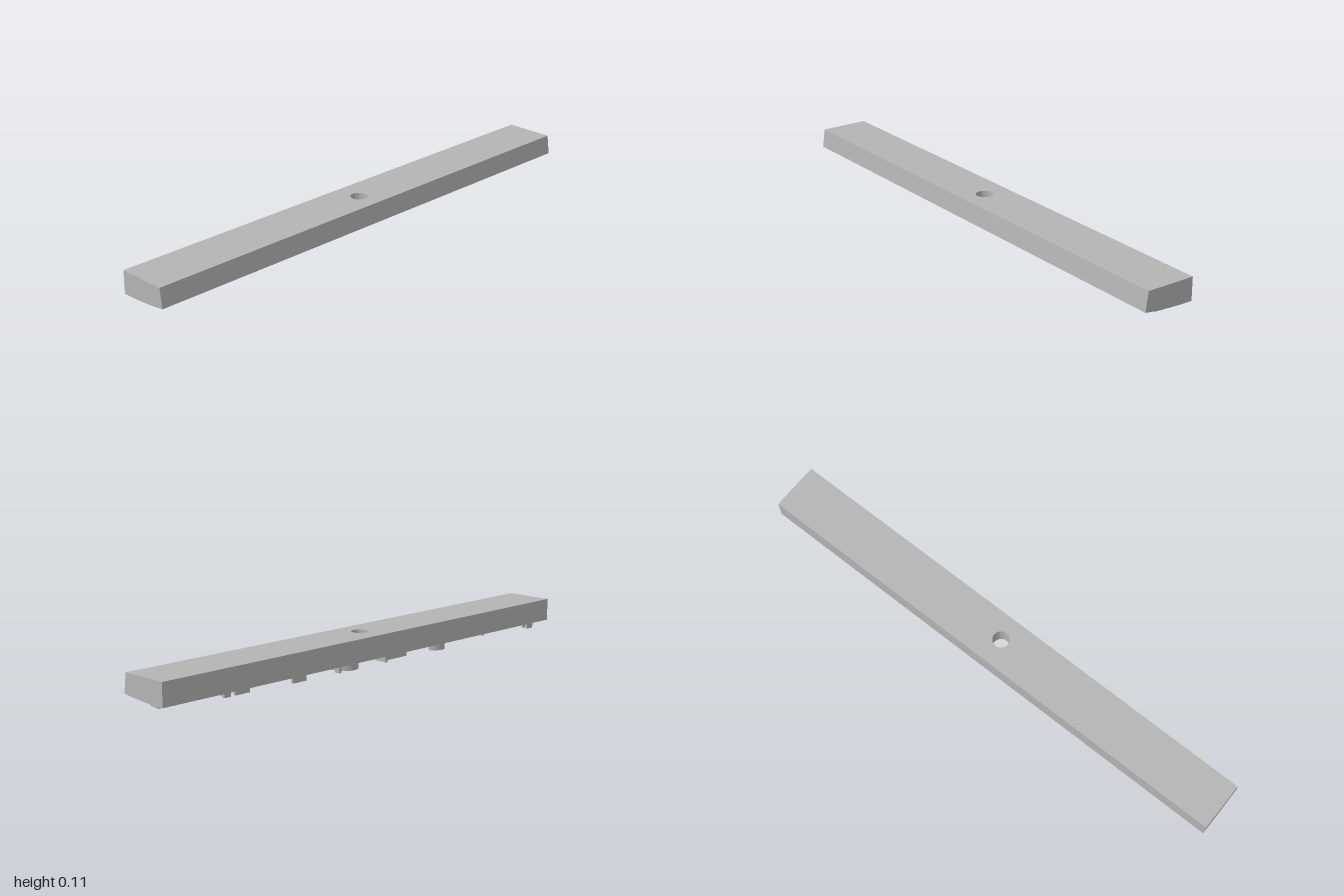
import * as THREE from 'three';
import { toCreasedNormals } from 'three/addons/utils/BufferGeometryUtils.js';

const TOP = 0.115, HOLE = 0.032, RIDGE = 0.027;

// Gently curved underside, rising towards +x
const under = (x) => 0.0285 + 0.36 * (x + 0.09) ** 2;

export function createModel() {
  const group = new THREE.Group();
  group.name = 'bar';
  const grey = new THREE.MeshStandardMaterial({ color: 0xb4b4b4 });
  grey.name = 'grey';

  function add(geometry, name) {
    const mesh = new THREE.Mesh(toCreasedNormals(geometry, 0.5), grey);
    mesh.name = name;
    group.add(mesh);
  }

  // Extrude a plan outline (x, -z) upward, then set each height by a rule (t = 0 bottom, 1 top)
  function upright(shape, rule) {
    const geometry = new THREE.ExtrudeGeometry(shape, { depth: 1, bevelEnabled: false, curveSegments: 16 });
    geometry.rotateX(-Math.PI / 2);
    const p = geometry.attributes.position;
    for (let i = 0; i < p.count; i++) {
      const [x, y] = rule(p.getX(i), p.getY(i));
      p.setX(i, x);
      p.setY(i, y);
    }
    geometry.computeVertexNormals();
    return geometry;
  }

  // Long halves of the bar, either side of the hole
  const steps = 16, mid = 0.036;
  const profile = new THREE.Shape();
  profile.moveTo(-0.1, TOP);
  for (let i = 0; i <= steps; i++) {
    const x = -0.1 + (0.2 * i) / steps;
    profile.lineTo(x, under(x));
  }
  profile.lineTo(0.09, TOP);
  for (const z of [-1, mid]) {
    const half = new THREE.ExtrudeGeometry(profile, { depth: 1 - mid, bevelEnabled: false });
    half.translate(0, 0, z);
    add(half, z < 0 ? 'backHalf' : 'frontHalf');
  }

  // Middle block with the round through hole
  const block = new THREE.Shape();
  for (let i = 0; i <= steps; i++) {
    const x = -0.1 + (0.2 * i) / steps;
    if (i === 0) block.moveTo(x, -mid);
    else block.lineTo(x, -mid);
  }
  for (let i = steps; i >= 0; i--) block.lineTo(-0.1 + (0.2 * i) / steps, mid);
  const hole = new THREE.Path();
  hole.absarc(0, 0, HOLE, 0, Math.PI * 2, true);
  block.holes.push(hole);
  add(upright(block, (x, t) => (t > 0.5 ? [x > 0.099 ? 0.09 : x, TOP] : [x, under(x)])), 'middleBlock');

  // Ridges hang a constant depth below the curved underside
  const ridge = (shape, name) =>
    add(upright(shape, (x, t) => [x, under(x) + (t > 0.5 ? 0.003 : -RIDGE)]), name);

  function plate(x0, x1, z0, z1, name) {
    const s = new THREE.Shape();
    s.moveTo(x0, -z1);
    s.lineTo(x1, -z1);
    s.lineTo(x1, -z0);
    s.lineTo(x0, -z0);
    s.closePath();
    ridge(s, name);
  }

  // Angles run from +x towards -z
  function arc(x, z, r, wall, from, to, name) {
    const s = new THREE.Shape();
    s.absarc(x, -z, r, from, to, false);
    s.absarc(x, -z, r - wall, to, from, true);
    s.closePath();
    ridge(s, name);
  }

  // Straight ridges: x from, x to, z from, z to
  const plates = [
    [-0.075, -0.064, 0.9, 0.935],
    [0.008, 0.019, 0.295, 0.435],
    [-0.062, -0.051, 0.07, 0.19],
    [-0.085, -0.03, 0.05, 0.06],
    [-0.03, 0.02, -0.175, -0.166],
    [-0.085, -0.06, -0.19, -0.18],
    [-0.078, -0.067, -0.41, -0.345],
    [-0.062, -0.051, -0.66, -0.595],
    [-0.062, -0.051, -0.71, -0.68],
    [-0.02, 0.022, -0.955, -0.945],
  ];
  plates.forEach(([a, b, c, d], i) => plate(a, b, c, d, `straightRidge${i + 1}`));

  // Curved ridges
  const PI = Math.PI;
  arc(-0.055, 0.918, 0.018, 0.01, -PI / 2, PI / 2, 'smallHook');
  arc(-0.01, 0.635, 0.045, 0.009, PI * 1.2, PI * 1.85, 'shallowArc');
  arc(-0.043, 0.36, 0.045, 0.011, PI * 0.6, PI * 1.75, 'openArc');
  arc(-0.04, -0.645, 0.055, 0.011, -PI * 0.5, PI * 0.55, 'halfArc');

  // Closed ring
  const ring = new THREE.Shape();
  ring.absarc(-0.035, 0.116, 0.052, 0, PI * 2, false);
  const bore = new THREE.Path();
  bore.absarc(-0.035, 0.116, 0.039, 0, PI * 2, true);
  ring.holes.push(bore);
  ridge(ring, 'ring');

  return group;
}
